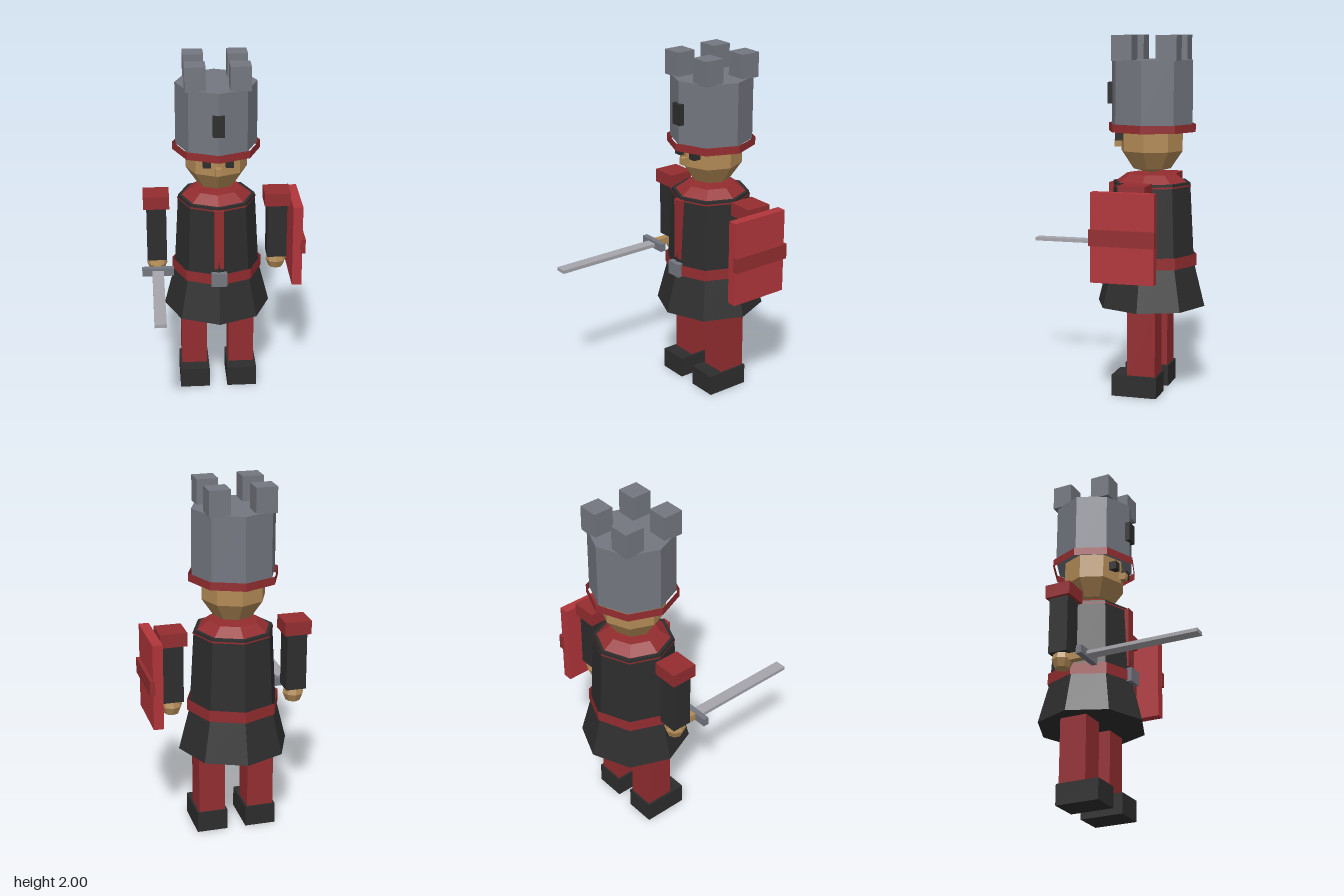
import * as THREE from 'three';

const mat = (name, color, side = THREE.FrontSide) => {
  const m = new THREE.MeshStandardMaterial({ color, side, flatShading: true });
  m.name = name;
  return m;
};

export function createModel() {
  const red = mat('uniform red', 0x942d30, THREE.DoubleSide);
  const shieldRed = mat('shield red', 0xb0353b);
  const black = mat('cloth black', 0x2d2d2d);
  const grey = mat('stone grey', 0x747780);
  const steel = mat('blade steel', 0xa5a5ab);
  const skin = mat('skin', 0xb28a56);

  const model = new THREE.Group();
  // the figure's own axis lies off the origin because of the sword and shield
  const body = new THREE.Group();
  body.name = 'figure';
  body.position.set(-0.03, 0, -0.25);
  model.add(body);

  const add = (name, geo, material, x, y, z) => {
    const mesh = new THREE.Mesh(geo, material);
    mesh.name = name;
    mesh.position.set(x, y, z);
    body.add(mesh);
    return mesh;
  };
  // box from its x, y and z ranges, relative to the figure's axis
  const box = (name, m, x0, x1, y0, y1, z0, z1) =>
    add(name, new THREE.BoxGeometry(x1 - x0, y1 - y0, z1 - z0), m,
      (x0 + x1) / 2, (y0 + y1) / 2, (z0 + z1) / 2);
  // eight-sided tube or frustum between two heights
  const octagon = (name, m, r0, r1, y0, y1, open = false) =>
    add(name, new THREE.CylinderGeometry(r1, r0, y1 - y0, 8, 1, open), m, 0, (y0 + y1) / 2, 0);
  // eight-sided rounded form
  const lathe = (name, m, pts, x, y) =>
    add(name, new THREE.LatheGeometry(pts.map(p => new THREE.Vector2(...p)), 8), m, x, y, 0);

  // Torso, skirt and trim
  octagon('skirt', black, 0.31, 0.25, 0.495, 0.73);
  octagon('torso', black, 0.248, 0.222, 0.72, 1.19);
  octagon('belt', red, 0.261, 0.261, 0.725, 0.79, true);
  octagon('chestPiping', red, 0.227, 0.227, 1.168, 1.177, true);
  octagon('collar', red, 0.205, 0.14, 1.188, 1.235);
  box('chestStripe', red, -0.027, 0.027, 0.82, 1.178, 0.2, 0.24);
  box('beltBuckle', grey, -0.045, 0.045, 0.72, 0.8, 0.235, 0.268);

  // Head and face
  lathe('head', skin, [[0, 0], [0.11, 0.027], [0.177, 0.125], [0.177, 0.27]], 0, 1.238);
  box('nose', skin, -0.016, 0.016, 1.38, 1.42, 0.15, 0.212);
  for (const s of [-1, 1])
    box('eye', black, s * 0.064 - 0.022, s * 0.064 + 0.022, 1.42, 1.47, 0.13, 0.188);

  // Tower hat
  octagon('hat', grey, 0.232, 0.232, 1.505, 1.865);
  octagon('hatBand', red, 0.25, 0.25, 1.47, 1.515, true);
  box('hatSlit', black, -0.033, 0.033, 1.62, 1.74, 0.21, 0.248);
  for (const x of [-0.125, 0.125])
    for (const z of [-0.125, 0.125])
      box('battlement', grey, x - 0.058, x + 0.058, 1.86, 2, z - 0.058, z + 0.058);

  // Limbs
  for (const s of [-1, 1]) {
    const leg = s * 0.14, arm = s * 0.35;
    box('leg', red, leg - 0.075, leg + 0.075, 0.11, 0.5, -0.08, 0.08);
    box('boot', black, leg - 0.087, leg + 0.087, 0, 0.12, -0.09, 0.165);
    box('arm', black, arm - 0.057, arm + 0.057, 0.8, 1.15, -0.057, 0.057);
    box('shoulderPad', red, arm - 0.075, arm + 0.075, 1.13, 1.207, -0.075, 0.075);
    lathe('hand', skin, [[0, 0], [0.042, 0.016], [0.06, 0.06], [0.048, 0.1], [0, 0.1]], arm, 0.705);
  }

  // Sword in the right hand
  box('swordGrip', skin, -0.37, -0.33, 0.755, 0.795, 0, 0.135);
  box('swordGuard', grey, -0.44, -0.257, 0.75, 0.797, 0.132, 0.165);
  box('swordBlade', steel, -0.382, -0.316, 0.763, 0.783, 0.165, 0.81);

  // Shield on the left arm
  box('shield', shieldRed, 0.424, 0.48, 0.69, 1.176, -0.14, 0.21);
  box('shieldBand', red, 0.47, 0.498, 0.89, 0.978, -0.147, 0.215);

  return model;
}
